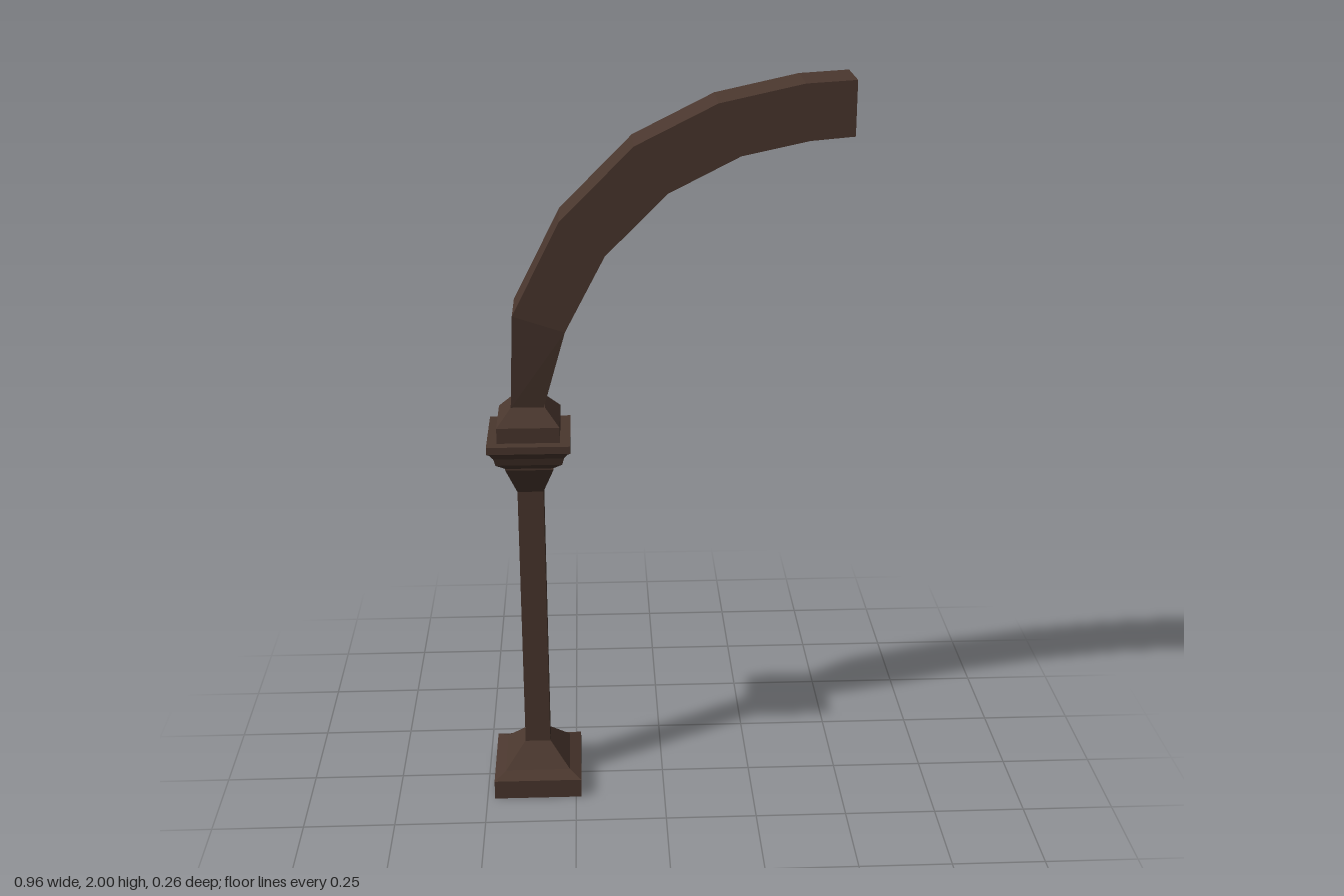
import * as THREE from 'three';

const CX = -0.357; // column axis

// Skin a list of four-cornered sections; corners run counter-clockwise seen from the loft's end
function loft(name, sections, material, capStart = false, capEnd = false) {
  const pos = [];
  const quad = (a, b, c, d) => pos.push(...a, ...b, ...c, ...a, ...c, ...d);
  for (let i = 0; i < sections.length - 1; i++) {
    const s = sections[i], t = sections[i + 1];
    for (let j = 0; j < 4; j++) {
      const k = (j + 1) % 4;
      quad(s[j], s[k], t[k], t[j]);
    }
  }
  const first = sections[0], last = sections[sections.length - 1];
  if (capStart) quad(first[3], first[2], first[1], first[0]);
  if (capEnd) quad(last[0], last[1], last[2], last[3]);
  const geometry = new THREE.BufferGeometry();
  geometry.setAttribute('position', new THREE.Float32BufferAttribute(pos, 3));
  geometry.computeVertexNormals();
  const mesh = new THREE.Mesh(geometry, material);
  mesh.name = name;
  return mesh;
}

// Section spanning an outer and an inner point, with half depth in z
const section = (ox, oy, ix, iy, h) => [[ox, oy, h], [ix, iy, h], [ix, iy, -h], [ox, oy, -h]];
// Horizontal section around the column axis; the column is slightly deeper than wide
const level = ([y, h]) => section(CX - h, y, CX + h, y, h * 1.075);

export function createModel() {
  const group = new THREE.Group();
  group.name = 'archBracket';
  const wood = new THREE.MeshStandardMaterial({ color: 0x4a372e });
  wood.name = 'darkBrown';
  const openWood = wood;
  openWood.side = THREE.DoubleSide; // the arm is an open tube

  // Square foot with a sloping top
  const base = [[0, 0.122], [0.055, 0.122], [0.07, 0.09], [0.13, 0.036]];
  group.add(loft('base', base.map(level), wood, true));

  // Slim shaft
  group.add(loft('shaft', [[0.13, 0.035], [0.9, 0.035]].map(level), wood));

  // Moulded capital: flare, stepped rim, upper block and sloping top
  const capital = [
    [0.9, 0.035], [0.975, 0.064], [0.98, 0.064], [1.0, 0.088], [1.02, 0.093],
    [1.035, 0.103], [1.04, 0.11], [1.06, 0.11], [1.06, 0.083], [1.102, 0.083], [1.145, 0.045],
  ];
  group.add(loft('capital', capital.map(level), wood, false, true));

  // Curved arm: outer x, y, inner x, y, half depth
  const arm = [
    [-0.402, 1.143, -0.315, 1.143, 0.047],
    [-0.39, 1.405, -0.255, 1.36, 0.078],
    [-0.265, 1.65, -0.15, 1.56, 0.078],
    [-0.075, 1.84, 0.01, 1.72, 0.078],
    [0.135, 1.945, 0.193, 1.813, 0.078],
    [0.35, 1.992, 0.365, 1.85, 0.078],
    [0.478, 2.0, 0.478, 1.86, 0.078],
  ];
  group.add(loft('curvedArm', arm.map((a) => section(...a)), openWood));

  return group;
}
